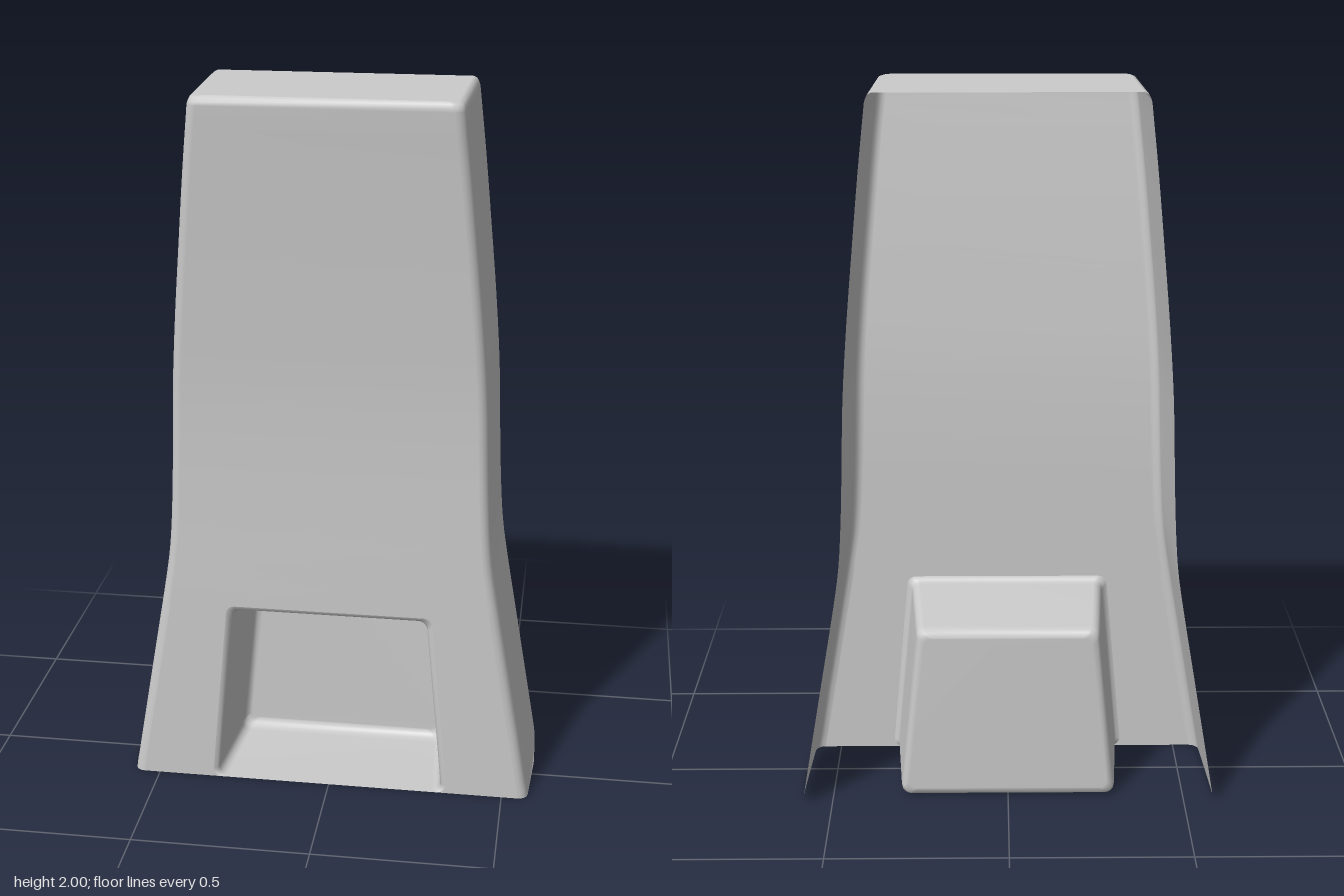
import * as THREE from 'three';

const material = new THREE.MeshStandardMaterial({ color: 0xcccccc, side: THREE.DoubleSide });
const EDGE = 0.028; // rounding of the long front edges
const DRAFT = 0.01; // side walls lean in towards the front

// Skins a list of cross-sections; the last one is capped with strips between mirrored points
function loft(rows, { closed = false, skip = () => false } = {}) {
  const n = rows[0].length;
  const index = [];
  for (let r = 0; r < rows.length - 1; r++) {
    for (let i = 0; i < (closed ? n : n - 1); i++) {
      if (skip(r, i)) continue;
      const a = r * n + i, b = r * n + (i + 1) % n;
      index.push(a, a + n, b, b, a + n, b + n);
    }
  }
  const last = (rows.length - 1) * n;
  for (let i = 0; i < n / 2 - 1; i++) {
    const a = last + i, b = last + n - 1 - i;
    index.push(a, b, a + 1, a + 1, b, b - 1);
  }
  const geometry = new THREE.BufferGeometry().setFromPoints(rows.flat());
  geometry.setIndex(index);
  geometry.computeVertexNormals();
  return geometry;
}

// U-shaped section of the shell: side wall, rounded edge, front, mirrored
function shellSection({ w, y, zf, zb }) {
  const half = [];
  for (let k = 0; k < 3; k++) {
    const s = k / 3;
    half.push(new THREE.Vector3(w - DRAFT * s, y, THREE.MathUtils.lerp(zb, zf - EDGE, s)));
  }
  for (let k = 0; k <= 4; k++) {
    const a = k * Math.PI / 8;
    half.push(new THREE.Vector3(w - DRAFT - EDGE + EDGE * Math.cos(a), y, zf - EDGE + EDGE * Math.sin(a)));
  }
  return [...half, ...half.map(p => new THREE.Vector3(-p.x, p.y, p.z)).reverse()];
}

// Trapezoid with rounded corners, from bottom left over the top to bottom right
function recessOutline(bottom, top, height, y0, radius, z) {
  const half = [];
  const corner = (cx, cy, from) => {
    for (let k = 0; k <= 4; k++) {
      const a = from - k * Math.PI / 8;
      half.push(new THREE.Vector3(cx + radius * Math.cos(a), cy + radius * Math.sin(a), z));
    }
  };
  corner(-bottom + radius, y0 + radius, 1.5 * Math.PI);
  corner(-top + radius, height - radius, Math.PI);
  return [...half, ...half.map(p => new THREE.Vector3(-p.x, p.y, p.z)).reverse()];
}

export function createModel() {
  const group = new THREE.Group();
  const add = (name, geometry) => {
    const mesh = new THREE.Mesh(geometry, material);
    mesh.name = name;
    group.add(mesh);
  };

  // Half width, height and front depth up the body
  const knots = [
    [0.585, 0, 0.14], [0.55, 0.2, 0.14], [0.515, 0.4, 0.14], [0.48, 0.6, 0.14],
    [0.462, 0.72, 0.14], [0.452, 0.85, 0.14], [0.445, 1.0, 0.141], [0.437, 1.2, 0.147],
    [0.422, 1.4, 0.16], [0.403, 1.6, 0.175], [0.383, 1.8, 0.192], [0.363, 1.975, 0.208],
  ].map(k => new THREE.Vector3(...k));
  const curve = new THREE.CatmullRomCurve3(knots, false, 'catmullrom', 0.5);
  const spans = knots.length - 1;

  // Lower back corners of the side walls are rounded off
  const levels = [
    { w: 0.585, y: 0, zf: 0.14, zb: -0.07 },
    { w: 0.584, y: 0.004, zf: 0.14, zb: -0.12 },
    { w: 0.583, y: 0.012, zf: 0.14, zb: -0.165 },
    { w: 0.581, y: 0.025, zf: 0.14, zb: -0.197 },
    { w: 0.577, y: 0.045, zf: 0.14, zb: -0.21 },
  ];
  for (let i = 3; i <= spans * 3; i++) {
    const p = curve.getPoint(i / (spans * 3));
    const zb = -0.21 + 0.03 * THREE.MathUtils.clamp((p.y - 1.1) / 0.9, 0, 1);
    levels.push({ w: p.x, y: p.y, zf: p.z, zb });
  }
  // Rounded rim of the top
  for (const [inset, y] of [[0.002, 1.985], [0.007, 1.995], [0.018, 2]]) {
    levels.push({ w: 0.362 - inset, y, zf: 0.21 - inset, zb: -0.18 });
  }

  // Shell, open at the back and below; the lower front is a separate panel
  const split = levels.findIndex(l => l.y > 0.599);
  const rows = levels.map(shellSection);
  const middle = rows[0].length / 2 - 1;
  add('shell', loft(rows, { skip: (r, i) => r < split && i === middle }));

  // Recess: rounded lip, tapering walls, rounded inner edges and back
  const loops = [
    [0.016, 0.14, 0], [0.006, 0.136, 0], [0.001, 0.126, 0], [0, 0.11, 0],
    [-0.018, -0.135, 0.001], [-0.021, -0.155, 0.005], [-0.028, -0.166, 0.012], [-0.042, -0.17, 0.026],
  ].map(([grow, z, y0]) => recessOutline(0.323 + grow, 0.276 + grow, 0.538 + grow, y0, 0.025, z));
  add('recess', loft(loops, { closed: true }));

  // Lower front panel, cut out around the recess
  const side = levels.slice(0, split + 1).map(l => new THREE.Vector2(l.w - DRAFT - EDGE, l.y));
  const outline = [
    ...side,
    ...side.map(p => new THREE.Vector2(-p.x, p.y)).reverse(),
    ...loops[0].map(p => new THREE.Vector2(p.x, p.y)),
  ];
  const panel = new THREE.ShapeGeometry(new THREE.Shape(outline));
  panel.translate(0, 0, 0.14);
  add('lowerFrontPanel', panel);

  return group;
}
